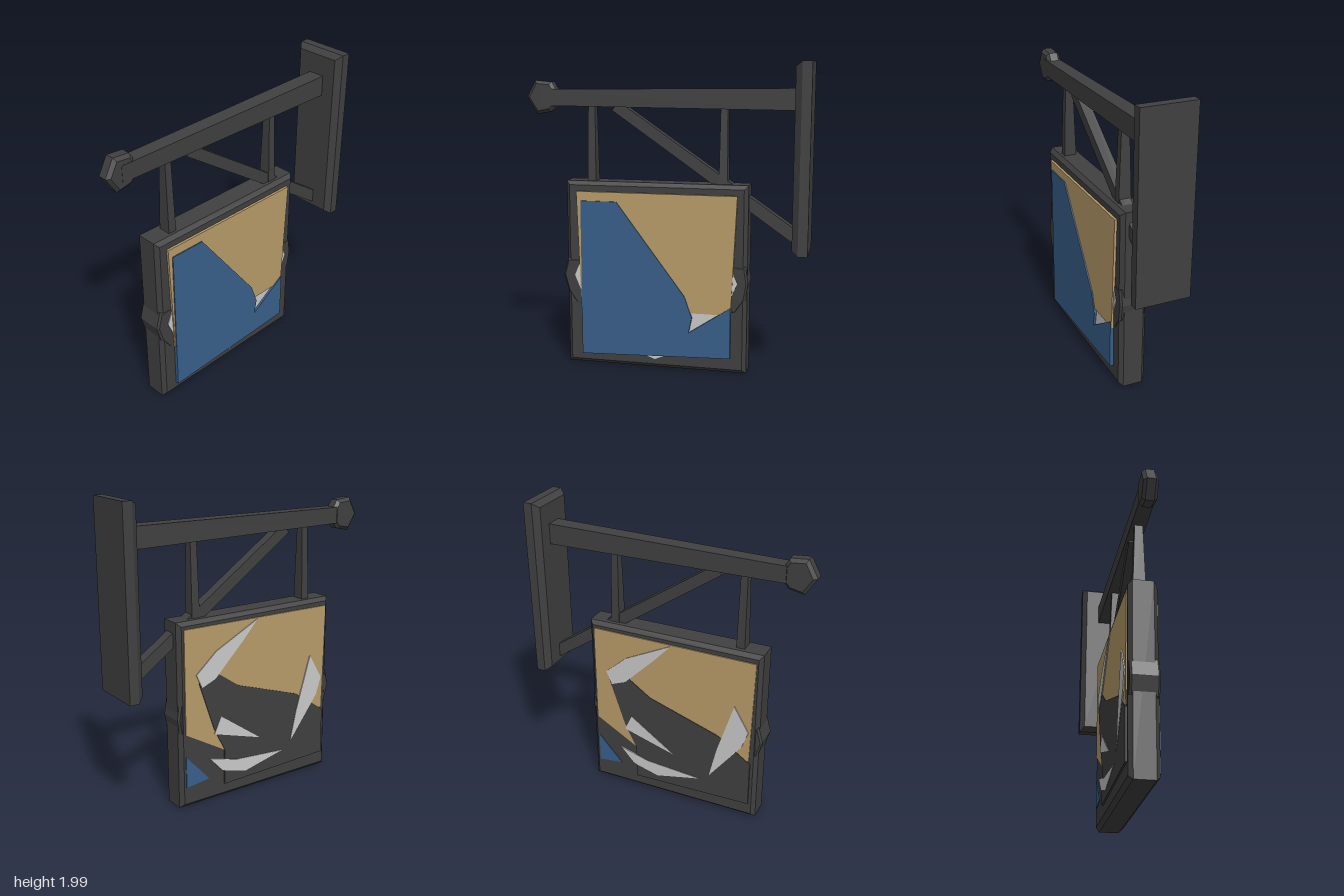
import * as THREE from 'three';

const mat = (name, color) => {
  const m = new THREE.MeshStandardMaterial({ color, flatShading: true });
  m.name = name;
  return m;
};

export function createModel() {
  const root = new THREE.Group();
  root.name = 'hangingSign';
  const iron = mat('dark iron', 0x404040);
  const ochre = mat('ochre paint', 0xb99c69);
  const blue = mat('blue paint', 0x385f8b);
  const white = mat('pale grey paint', 0xcacaca);

  const add = (name, geo, material, parent = root) => {
    const mesh = new THREE.Mesh(geo, material);
    mesh.name = name;
    parent.add(mesh);
    return mesh;
  };

  // slab with a [z, y] outline, filling x0..x1, with optional chamfer
  const slab = (name, pts, x0, x1, material, bevel = 0) => {
    const shape = new THREE.Shape(pts.map(([z, y]) => new THREE.Vector2(z, y)));
    const geo = new THREE.ExtrudeGeometry(shape, {
      depth: x1 - x0 - 2 * bevel, bevelEnabled: bevel > 0,
      bevelThickness: bevel, bevelSize: bevel, bevelOffset: -bevel, bevelSegments: 1,
    });
    geo.rotateY(-Math.PI / 2).translate(x1 - bevel, 0, 0);
    return add(name, geo, material);
  };

  // box along y whose top end is scaled
  const taperBox = (w, h, d, sx = 1, sz = sx) => {
    const geo = new THREE.BoxGeometry(w, h, d);
    const p = geo.attributes.position;
    for (let i = 0; i < p.count; i++) {
      if (p.getY(i) > 0) p.setXYZ(i, p.getX(i) * sx, p.getY(i), p.getZ(i) * sz);
    }
    geo.computeVertexNormals();
    return geo;
  };

  // straight bar between two [z, y] points
  const bar = (name, [z0, y0], [z1, y1], w, d, sx, sz) => {
    const len = Math.hypot(z1 - z0, y1 - y0);
    const mesh = add(name, taperBox(w, len, d, sx, sz), iron);
    mesh.position.set(0, (y0 + y1) / 2, (z0 + z1) / 2);
    mesh.rotation.x = Math.atan2(z1 - z0, y1 - y0);
    return mesh;
  };

  const octagon = (rz, ry, cz = 0.05, cy = 0.61) =>
    Array.from({ length: 8 }, (_, i) => {
      const a = (i * Math.PI) / 4;
      return [cz + rz * Math.cos(a), cy + ry * Math.sin(a)];
    });

  // wall plate: flat back, chamfered front
  add('wallPlate', new THREE.BoxGeometry(0.35, 1.18, 0.06).translate(0, 1.41, -0.9), iron);
  const front = taperBox(0.35, 0.04, 1.18, 0.82, 0.95).rotateX(Math.PI / 2);
  add('wallPlateFront', front.translate(0, 1.41, -0.85), iron);

  // arm, brace and hangers
  bar('arm', [-0.84, 1.77], [0.82, 1.77], 0.11, 0.135, 0.85, 0.78);
  bar('brace', [-0.85, 0.91], [0.32, 1.72], 0.075, 0.08, 0.9, 0.9);
  for (const z of [0.48, -0.385]) {
    bar('hanger', [z, 1.22], [z, 1.73], 0.085, 0.056, 0.6, 0.8);
  }
  slab('armKnob', [[0.92, 1.77], [0.86, 1.88], [0.75, 1.87], [0.72, 1.82],
    [0.72, 1.72], [0.75, 1.68], [0.85, 1.66]], -0.05, 0.045, iron, 0.02);

  // sign frame with a bulging round rim at mid height
  slab('signFrame', [[0.645, 0.01], [0.645, 1.235], [-0.55, 1.235], [-0.55, 0.01]],
    -0.095, 0.085, iron, 0.025);
  slab('signRim', [[0.64, 0.72], [0.67, 0.61], [0.64, 0.5], [0.58, 0.41],
    [-0.48, 0.41], [-0.54, 0.5], [-0.557, 0.61], [-0.54, 0.72]], -0.09, 0.088, iron, 0.012);

  // left face
  slab('leftDisc', octagon(0.54, 0.54), 0.084, 0.093, white);
  slab('leftOchrePanel', [[0.57, 1.17], [-0.485, 1.17], [-0.45, 0.4],
    [0.545, 0.4]], 0.082, 0.101, ochre);
  slab('leftBluePanel', [[0.54, 1.11], [0.3, 1.11], [-0.15, 0.51], [-0.2, 0.37],
    [-0.18, 0.27], [-0.45, 0.45], [-0.45, 0.115], [0.54, 0.08]], 0.085, 0.108, blue);

  // right face
  slab('rightBlueCorner', [[-0.51, 0.36], [-0.51, 0.15], [-0.34, 0.17]], -0.1, -0.094, blue);
  slab('rightOchrePanel', [[0.61, 1.18], [-0.51, 1.19], [-0.51, 0.51], [-0.22, 0.34],
    [0.3, 0.4], [0.59, 0.46]], -0.102, -0.085, ochre);
  slab('rightDarkPatch', [[-0.34, 0.92], [-0.11, 0.76], [0.37, 0.6], [0.6, 0.44],
    [0.6, 0.12], [-0.22, 0.1], [-0.22, 0.34], [-0.3, 0.5], [-0.41, 0.83]], -0.106, -0.094, iron);
  const shards = [
    [[0.04, 1.18], [-0.28, 1.02], [-0.43, 0.89], [-0.39, 0.8], [-0.29, 0.84], [-0.08, 1.05]],
    [[0.48, 0.85], [0.58, 0.68], [0.54, 0.56], [0.32, 0.27], [0.37, 0.49]],
    [[-0.25, 0.58], [0.06, 0.36], [-0.3, 0.47]],
    [[-0.34, 0.31], [-0.13, 0.25], [0.25, 0.22], [-0.06, 0.15], [-0.24, 0.2]],
  ];
  for (const pts of shards) slab('rightRingShard', pts, -0.109, -0.1, white);

  return root;
}
